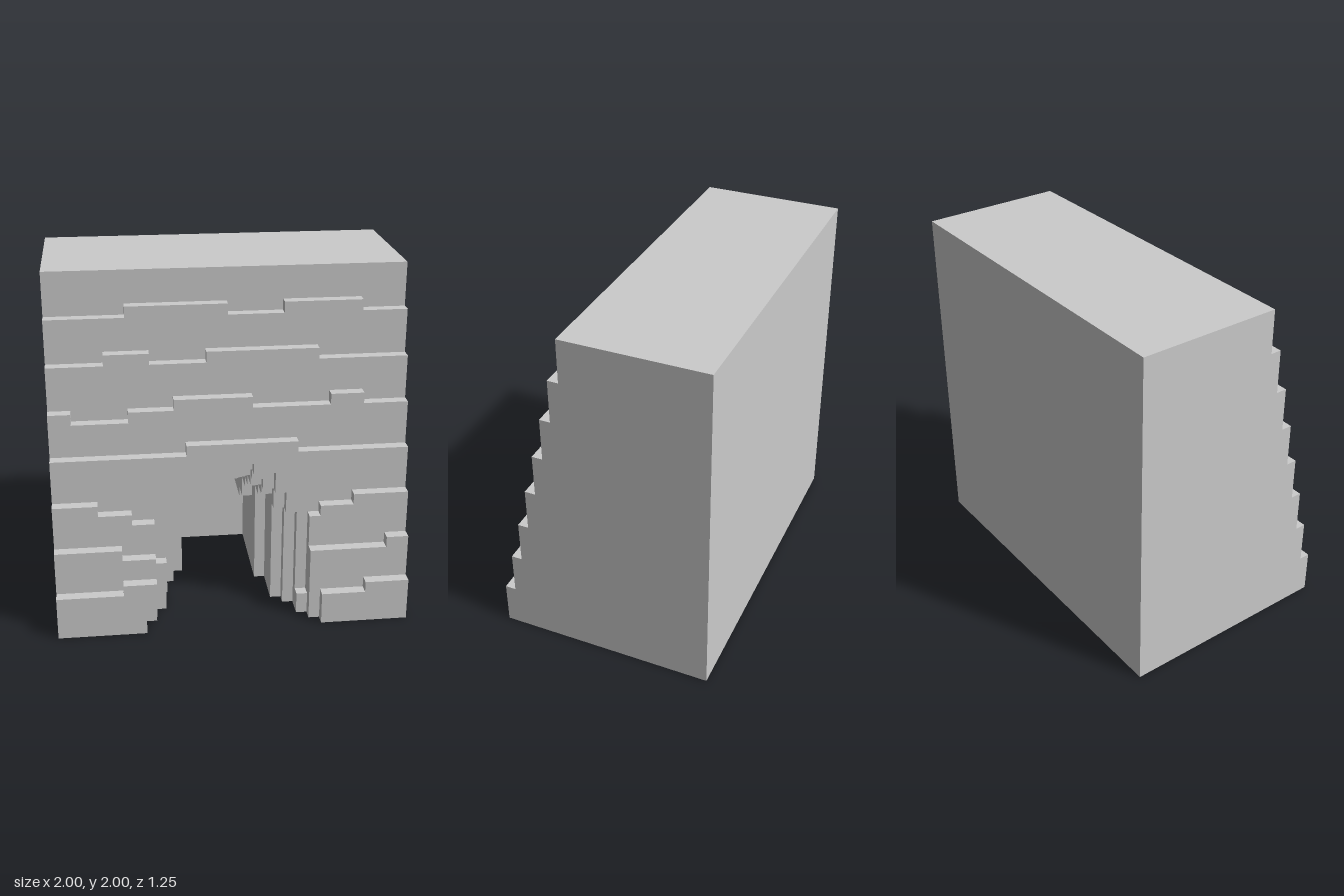
import * as THREE from 'three';

const U = 1 / 16; // one block
const HALF = 16;  // half width in blocks
const FIRST_STEP = 3; // z where the cliff begins to step down

// Jogs [x0, x1, change] along the top edge of each step, from the highest step down
const jogs = [
  [[-9, 0, 1], [5, 12, 1]],
  [[-11, -7, 1], [-2, 8, 1]],
  [[-14, -9, -1], [-5, 2, 1], [9, 12, 1]],
  [[-4, 6, 1]],
  [[-12, -9, -1], [-9, -7, -2], [-7, -6, -6], [6, 7, -10], [7, 8, -2], [8, 11, -1]],
  [[-10, 14, -1]],
  [[-10, -7, 1], [8, 12, -1]],
];

// Cave chambers: back z, left wall x, right wall x; each ceiling is one block higher
const chambers = [
  [-8, -4, 3], [-5, -4, 3], [-3, -4, 3], [-1, -5, 3],
  [1, -6, 4], [3, -6, 4], [5, -6, 5], [6, -7, 6],
];

// Open entrance in front of the arch: walls, then the column hollowed below and its height
const entrance = [[-6, 6, -7, 3], [-7, 7, -8, 1], [-7, 8, -8, 3]];
const ENTRANCE_Z = 7;

// Height of the cliff at column x in the slice starting at z
function cliffTop(x, z) {
  if (z < FIRST_STEP) return 32;
  const step = z - FIRST_STEP;
  const jog = jogs[step].find(([x0, x1]) => x >= x0 && x < x1);
  return 28 - 4 * step + (jog ? jog[2] : 0);
}

// Height of the cave opening at column x in the slice starting at z
function caveTop(x, z) {
  if (z >= ENTRANCE_Z) {
    const [left, right, column, height] = entrance[z - ENTRANCE_Z];
    if (x >= left && x < right) return 32;
    return x === column ? height : 0;
  }
  const i = chambers.findLastIndex(([back]) => z >= back);
  if (i < 0) return 0;
  const [, left, right] = chambers[i];
  if (x < left || x >= right) return 0;
  // rounded arch, snapped to whole blocks
  const t = Math.abs(x + 0.5) / -left;
  return Math.round((8 + i) * Math.sqrt(1 - t ** 2.5));
}

// Outlines of every run of solid columns between the opening and the cliff top
function outlines(z) {
  const shapes = [];
  let upper = [], lower = [];
  for (let x = -HALF; x <= HALF; x++) {
    const top = cliffTop(x, z), bottom = caveTop(x, z);
    if (x < HALF && bottom < top) {
      upper.push([x, top], [x + 1, top]);
      lower.push([x, bottom], [x + 1, bottom]);
    } else if (upper.length) {
      const loop = [...lower, ...upper.reverse()];
      const at = (i) => loop[(i + loop.length) % loop.length];
      // keep only the corners
      const corners = loop.filter(([px, py], i) => {
        let a = i - 1, b = i + 1;
        if (at(b)[0] === px && at(b)[1] === py) return false;
        while (at(a)[0] === px && at(a)[1] === py) a--;
        return (px - at(a)[0]) * (at(b)[1] - py) !== (py - at(a)[1]) * (at(b)[0] - px);
      });
      shapes.push(new THREE.Shape(corners.map(([px, py]) => new THREE.Vector2(px * U, py * U))));
      upper = [];
      lower = [];
    }
  }
  return shapes;
}

export function createModel() {
  const group = new THREE.Group();
  group.name = 'cliffWithCave';
  const material = new THREE.MeshStandardMaterial({ color: 0xcccccc, flatShading: true });

  const addSlab = (name, back, front) => {
    const geometry = new THREE.ExtrudeGeometry(outlines(back), {
      depth: (front - back) * U, bevelEnabled: false,
    });
    const mesh = new THREE.Mesh(geometry, material);
    mesh.name = name;
    mesh.position.z = back * U;
    group.add(mesh);
  };

  // solid rock behind the cave, then the full-height rock around it
  addSlab('backWall', -10, -8);
  const deep = chambers.map(([back]) => back).filter((back) => back <= FIRST_STEP);
  for (let i = 0; i < deep.length - 1; i++) addSlab(`caveChamber${i + 1}`, deep[i], deep[i + 1]);

  // stepped cliff face
  jogs.forEach((_, i) => addSlab(`cliffStep${i + 1}`, FIRST_STEP + i, FIRST_STEP + i + 1));
  return group;
}
